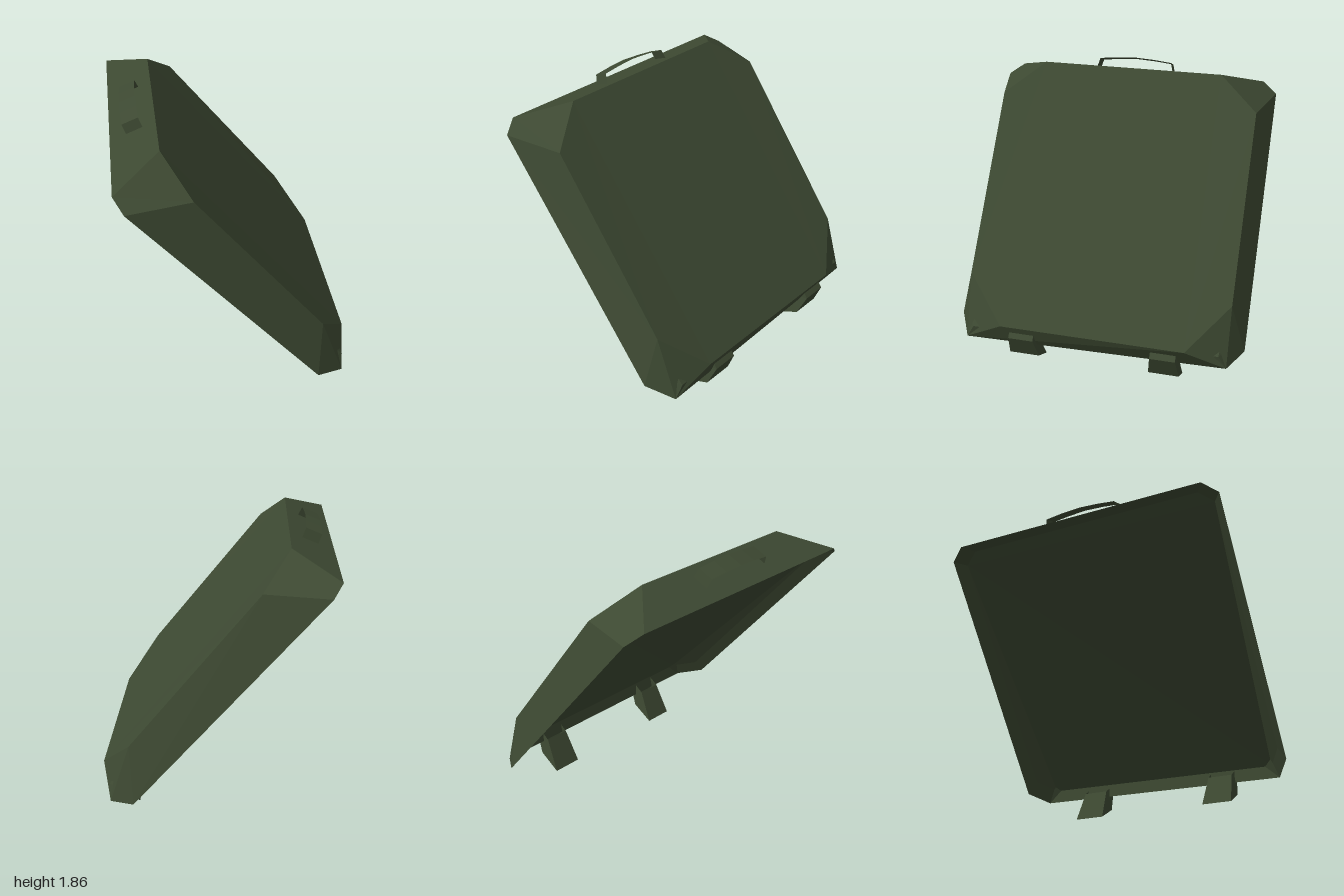
import * as THREE from 'three';

const olive = new THREE.MeshStandardMaterial({ color: 0x3d4932 });
olive.name = 'olive drab';
olive.flatShading = true;
olive.side = THREE.DoubleSide;

// Mesh from a list of polygons, each a list of corners, counter-clockwise seen from outside.
function add(parent, name, faces) {
  const pos = [];
  for (const c of faces) {
    for (let i = 1; i < c.length - 1; i++) pos.push(...c[0], ...c[i], ...c[i + 1]);
  }
  const g = new THREE.BufferGeometry();
  g.setAttribute('position', new THREE.Float32BufferAttribute(pos, 3));
  g.computeVertexNormals();
  const mesh = new THREE.Mesh(g, olive);
  mesh.name = name;
  parent.add(mesh);
}

export function createModel() {
  const model = new THREE.Group();
  model.name = 'hatch';

  // Sloping hatch: a pressed octagonal shell
  const rim = [
    [-0.75, 1.70, -0.9], [-0.75, 1.70, 0.9], [-0.69, 1.635, 1], [0.5, 0.24, 1],
    [0.685, 0.175, 0.9], [0.66, 0.197, -0.9], [0.5, 0.24, -1], [-0.69, 1.635, -1],
  ];
  const top = [
    [-0.46, 1.82, -0.63], [-0.46, 1.82, 0.63], [-0.29, 1.625, 0.9], [0.53, 0.6, 0.9],
    [0.74, 0.333, 0.63], [0.74, 0.333, -0.63], [0.53, 0.6, -0.9], [-0.29, 1.625, -0.9],
  ];
  const shell = [[0, 1, 4, 5], [1, 2, 3, 4], [5, 6, 7, 0]].map((f) => f.map((i) => top[i]));

  // Underside: a shallow recess set back from the rim
  const depth = 0.07, shrink = 0.94;
  const recess = rim.map(([x, y, z]) => [
    -0.03 + (x + 0.03) * shrink + 0.73 * depth,
    0.94 + (y - 0.94) * shrink + 0.684 * depth,
    z * shrink,
  ]);
  const lining = [[7, 5, 4, 2, 1, 0], [4, 3, 2], [7, 6, 5]].map((f) => f.map((i) => recess[i]));

  for (let i = 0; i < 8; i++) {
    const j = (i + 1) % 8;
    // The front bottom corner folds the other way, mirroring the back one
    shell.push(i === 3 ? [rim[j], top[j], top[i], rim[i]] : [rim[i], rim[j], top[j], top[i]]);
    lining.push([rim[j], rim[i], recess[i], recess[j]]);
  }
  add(model, 'shell', shell);
  add(model, 'lining', lining);

  // Two hinge feet, a little narrower at the top and open where they meet the shell
  const profile = [[0.62, 0.22], [0.515, 0], [0.678, 0.09], [0.745, 0.25], [0.72, 0.285]];
  for (const side of [1, -1]) {
    const ring = (dir) => profile.map(([x, y]) =>
      [x, y, side * 0.488 + dir * (y < 0.1 ? 0.104 : 0.086)]);
    const back = ring(-1), front = ring(1);
    const faces = [front, [...back].reverse()];
    for (let i = 0; i < 4; i++) faces.push([back[i], back[i + 1], front[i + 1], front[i]]);
    add(model, side > 0 ? 'frontHinge' : 'backHinge', faces);
  }

  // Arched grab handle: a thin strap standing on the upper edge, as [z, height]
  const arch = [[-0.275, 0], [-0.257, 0.064], [-0.13, 0.077], [0, 0.084],
    [0.13, 0.077], [0.257, 0.064], [0.275, 0]];
  const at = ([z, h], w) => [-0.645 + 0.924 * w - 0.382 * h, 1.742 + 0.382 * w + 0.924 * h, z];
  const strap = [];
  for (let i = 0; i < arch.length - 1; i++) {
    const [p, q] = [arch[i], arch[i + 1]];
    strap.push([at(p, 0), at(q, 0), at(q, 0.112), at(p, 0.112)]);
  }
  add(model, 'handle', strap);

  return model;
}
